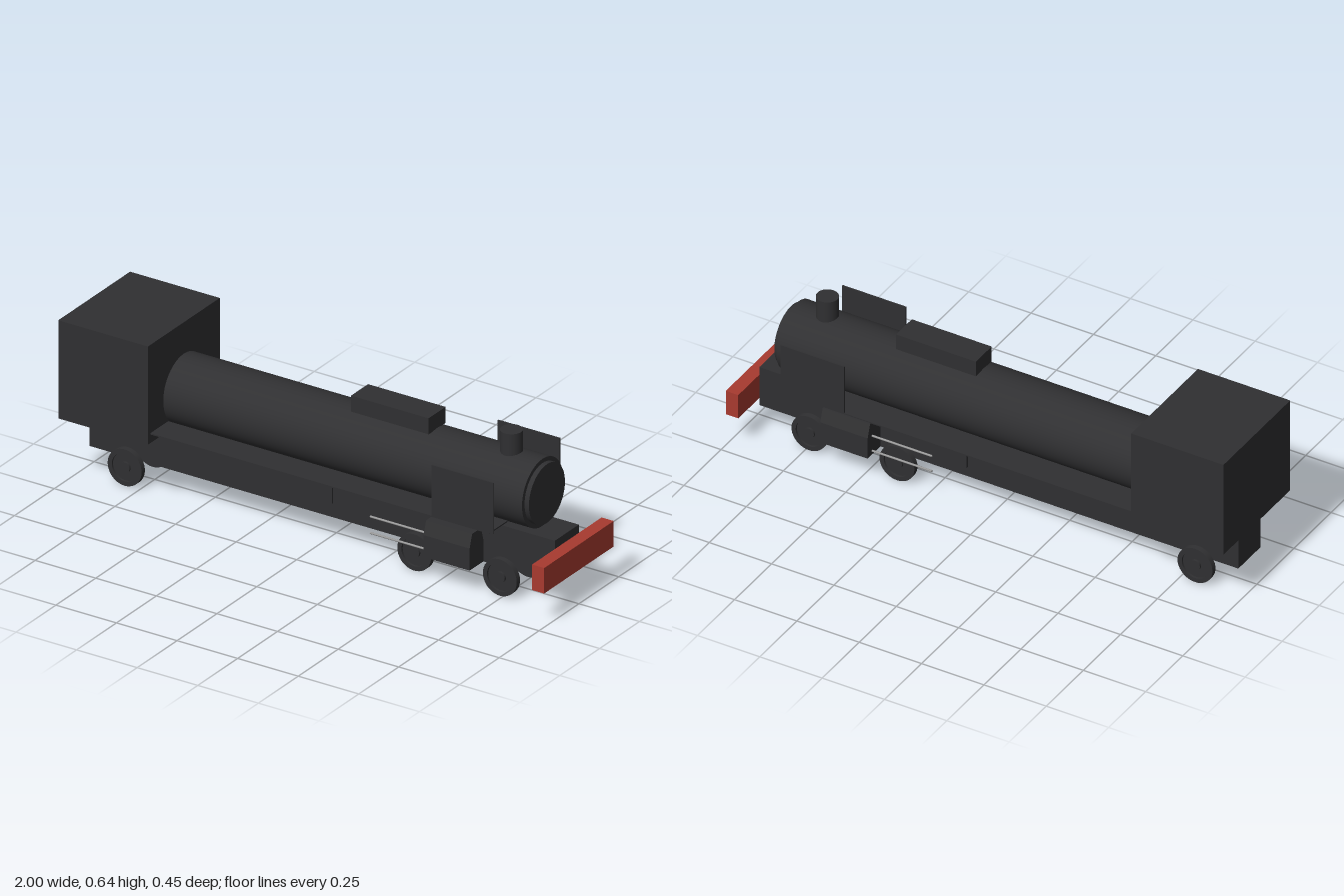
import * as THREE from 'three';

export function createModel() {
  const model = new THREE.Group();
  const dark = new THREE.MeshStandardMaterial({ color: 0x303032 });
  const red = new THREE.MeshStandardMaterial({ color: 0xa83a30 });
  const steel = new THREE.MeshStandardMaterial({ color: 0x999999 });

  const add = (name, geometry, material = dark) => {
    const mesh = new THREE.Mesh(geometry, material);
    mesh.name = name;
    model.add(mesh);
    return mesh;
  };
  // Box given by its minimum and maximum on each axis
  const box = (name, x0, x1, y0, y1, z0, z1, material) =>
    add(name, new THREE.BoxGeometry(x1 - x0, y1 - y0, z1 - z0), material)
      .position.set((x0 + x1) / 2, (y0 + y1) / 2, (z0 + z1) / 2);
  // Cylinder lying along x
  const barrel = (name, x0, x1, y, z, r, sides, material) => {
    const mesh = add(name, new THREE.CylinderGeometry(r, r, x1 - x0, sides), material);
    mesh.rotation.z = -Math.PI / 2;
    mesh.position.set((x0 + x1) / 2, y, z);
  };

  // Frame, cab and front beam
  box('frame', -0.97, 0.95, 0.1, 0.26, -0.075, 0.075);
  box('cab', -1, -0.63, 0.26, 0.638, -0.225, 0.225);
  box('bufferBeam', 0.95, 1, 0.13, 0.228, -0.218, 0.218, red);

  // Boiler with its door, casing and chimney
  barrel('boiler', -0.63, 0.85, 0.388, 0, 0.129, 64);
  barrel('smokeboxDoor', 0.85, 0.868, 0.388, 0, 0.113, 64);
  box('topCasing', 0.095, 0.415, 0.514, 0.576, -0.053, 0.053);
  add('chimney', new THREE.CylinderGeometry(0.04, 0.04, 0.1, 40)).position.set(0.722, 0.546, 0);

  // Cylinder block cross-section, in z and y
  const block = new THREE.Shape([
    [0.075, 0.1], [0.161, 0.1], [0.161, 0.185], [0.145, 0.235], [0.09, 0.235], [0.075, 0.185],
  ].map(([z, y]) => new THREE.Vector2(z, y)));

  // Wheel section: raised hub and rim around a sunken web
  const wheelProfile = [
    [0, 0], [0.07, 0], [0.07, 0.021], [0.053, 0.021], [0.053, 0.013],
    [0.02, 0.013], [0.02, 0.021], [0, 0.021],
  ];
  const wheelPoints = [];
  wheelProfile.forEach(([r, h], i) => {
    // Doubled corners keep the edges sharp
    wheelPoints.push(new THREE.Vector2(r, h));
    if (i > 0 && i < wheelProfile.length - 1) wheelPoints.push(new THREE.Vector2(r, h));
  });

  for (const [side, s] of [['left', -1], ['right', 1]]) {
    const span = (a, b) => (s > 0 ? [a, b] : [-b, -a]);

    // Running board, its bracket and the smoke deflector
    box(side + 'RunningBoard', -0.63, 0.77, 0.293, 0.298, ...span(0.098, 0.21));
    box(side + 'Bracket', 0.07, 0.085, 0.2, 0.293, ...span(0.15, 0.158));
    box(side + 'SmokeDeflector', 0.53, 0.785, 0.295, 0.493, ...span(0.205, 0.21));

    // Cylinder block; the far side is the same part turned about
    const cylinder = add(side + 'CylinderBlock',
      new THREE.ExtrudeGeometry(block, { depth: 0.19, bevelEnabled: false }));
    cylinder.rotation.y = -s * Math.PI / 2;
    cylinder.position.x = s > 0 ? 0.655 : 0.465;

    // Piston and valve rods
    for (const y of [0.115, 0.178]) {
      barrel(side + 'Rod', 0.225, 0.47, y, s * 0.13, 0.004, 10, steel);
    }

    // Wheels
    for (const x of [-0.81, 0.385, 0.738]) {
      const wheel = add(side + 'Wheel', new THREE.LatheGeometry(wheelPoints, 40));
      wheel.rotation.x = s * Math.PI / 2;
      wheel.position.set(x, 0.07, s * 0.077);
    }
  }

  return model;
}
